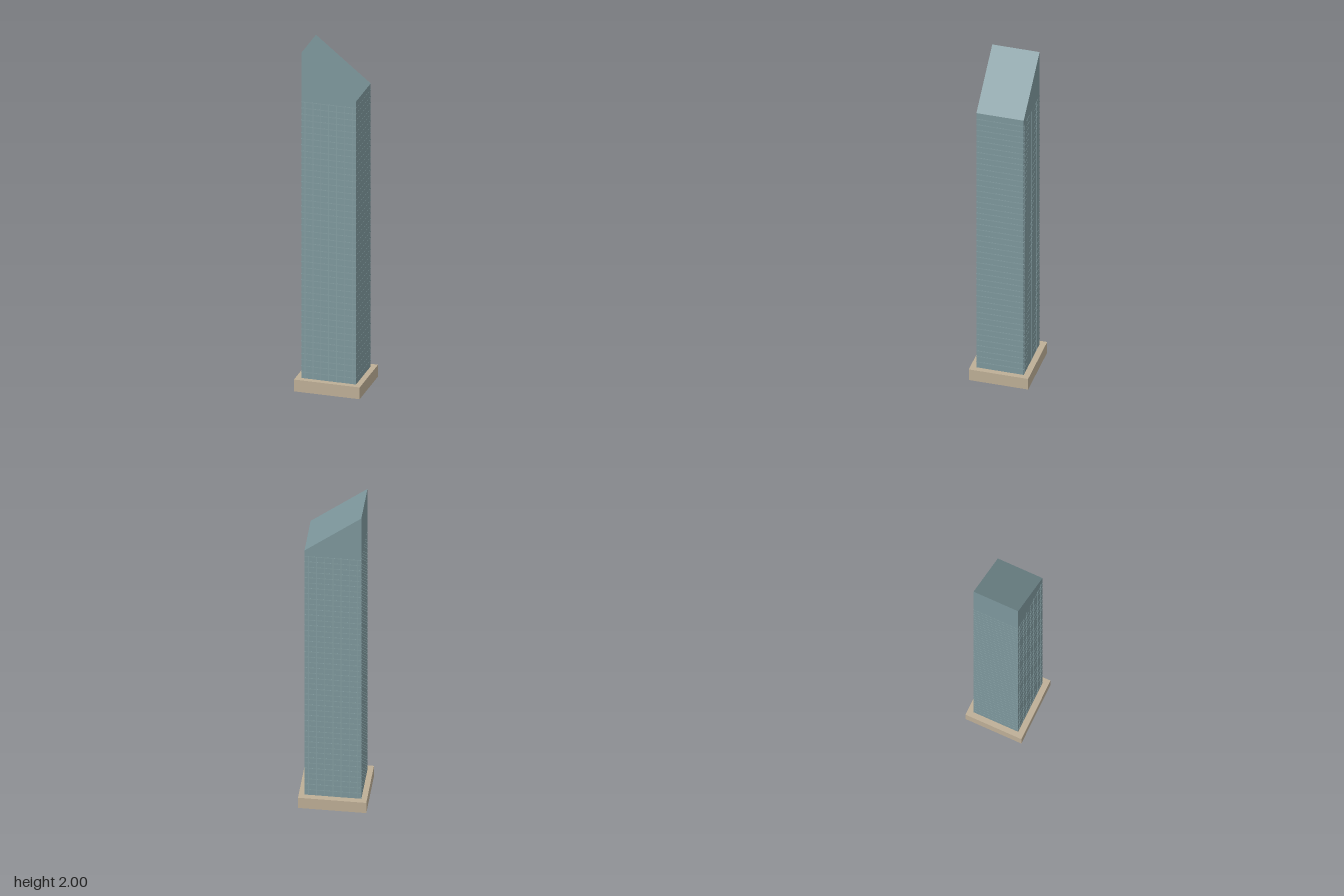
import * as THREE from 'three';

const HALF_W = 0.157, HALF_D = 0.135;
const BASE_H = 0.07, LOW = 1.75, HIGH = 2;

export function createModel() {
  const model = new THREE.Group();
  const glass = new THREE.MeshStandardMaterial({ color: 0x7d979c, flatShading: true });
  const trim = new THREE.MeshStandardMaterial({ color: 0x849da1, flatShading: true });
  const stone = new THREE.MeshStandardMaterial({ color: 0xbdae96, flatShading: true });

  const add = (name, geometry, material, x = 0, y = 0, z = 0, parent = model) => {
    const mesh = new THREE.Mesh(geometry, material);
    mesh.name = name;
    mesh.position.set(x, y, z);
    parent.add(mesh);
    return mesh;
  };

  // Plinth
  add('plinth', new THREE.BoxGeometry(0.377, BASE_H, 0.338), stone, 0, BASE_H / 2, 0);

  // Tower shaft with a single sloping roof, high on the right
  const outline = new THREE.Shape([
    new THREE.Vector2(-HALF_W, 0.01),
    new THREE.Vector2(HALF_W, 0.01),
    new THREE.Vector2(HALF_W, LOW),
    new THREE.Vector2(-HALF_W, HIGH),
  ]);
  const shaft = new THREE.ExtrudeGeometry(outline, { depth: 2 * HALF_D, bevelEnabled: false });
  shaft.translate(0, 0, -HALF_D);
  add('towerShaft', shaft, glass);

  // Floor bands, just proud of all four facades
  const floors = new THREE.Group();
  floors.name = 'floorBands';
  model.add(floors);
  const FLOORS = 45, pitch = (1.71 - BASE_H) / FLOORS;
  const band = new THREE.BoxGeometry(2 * HALF_W + 0.001, 0.005, 2 * HALF_D + 0.001);
  for (let i = 1; i <= FLOORS; i++) {
    add('floorBand', band, trim, 0, BASE_H + i * pitch, 0, floors);
  }

  // Vertical mullions on the front and back facades
  const mullions = new THREE.Group();
  mullions.name = 'mullions';
  model.add(mullions);
  const mullionH = 1.71 - BASE_H;
  const mullion = new THREE.BoxGeometry(0.004, mullionH, 0.002);
  for (const side of [-1, 1]) {
    for (let i = -3; i <= 3; i++) {
      add('mullion', mullion, trim, i * 0.045, BASE_H + mullionH / 2, side * HALF_D, mullions);
    }
  }
  return model;
}
